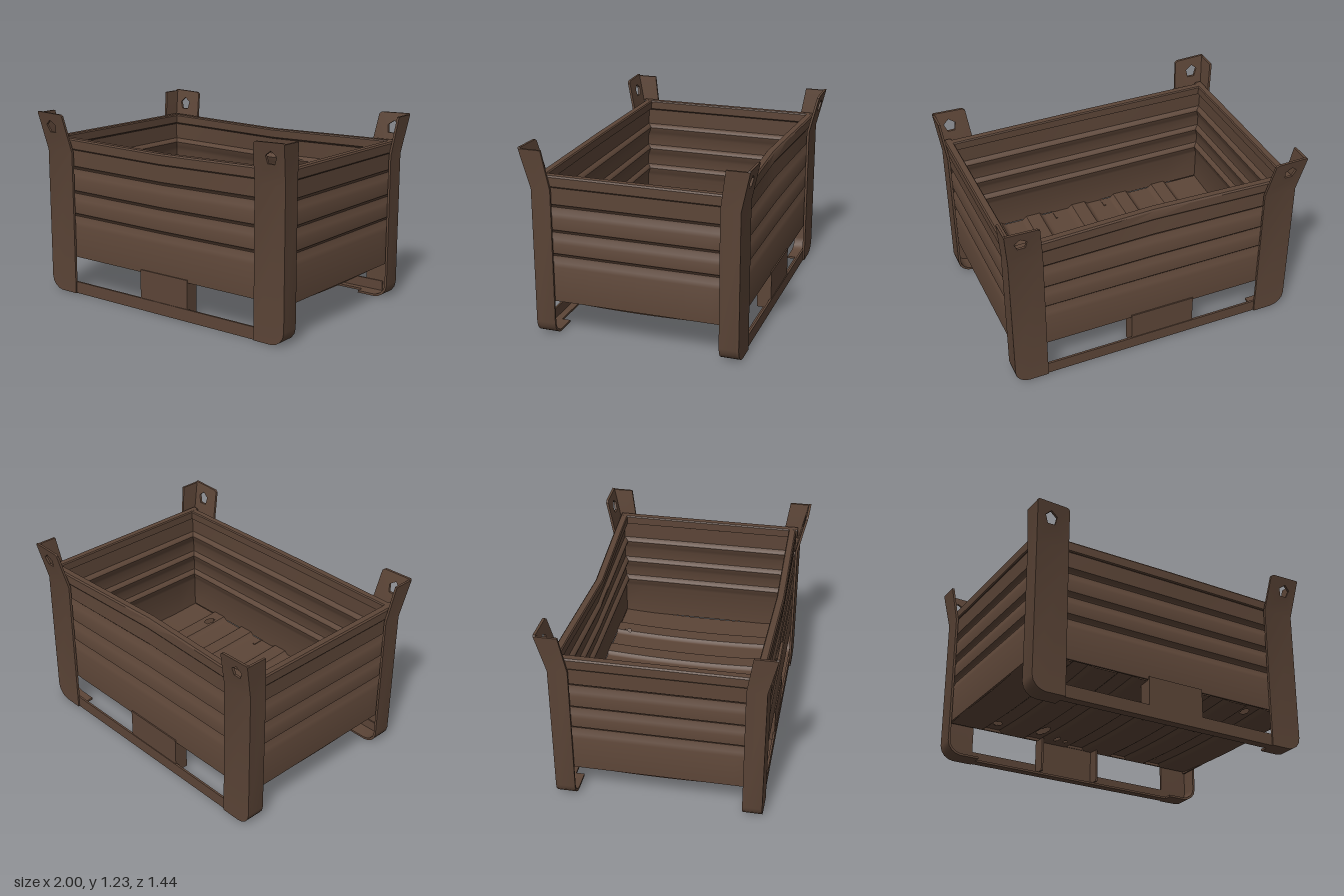
import * as THREE from 'three';
import { toCreasedNormals } from 'three/addons/utils/BufferGeometryUtils.js';

const rust = new THREE.MeshStandardMaterial({ color: 0x5c4537, side: THREE.DoubleSide });
rust.name = 'rustyBrown';

// Apply a rule to every vertex, then recompute normals with sharp creases.
function reshape(geo, rule) {
  const p = geo.attributes.position, v = new THREE.Vector3();
  for (let i = 0; i < p.count; i++) {
    v.fromBufferAttribute(p, i);
    rule(v);
    p.setXYZ(i, v.x, v.y, v.z);
  }
  geo.computeVertexNormals();
  return toCreasedNormals(geo, 0.6);
}

function add(parent, name, geo) {
  const mesh = new THREE.Mesh(geo, rust);
  mesh.name = name;
  parent.add(mesh);
  return mesh;
}

function box(parent, name, x0, x1, y0, y1, z0, z1) {
  const geo = new THREE.BoxGeometry(x1 - x0, y1 - y0, z1 - z0);
  geo.translate((x0 + x1) / 2, (y0 + y1) / 2, (z0 + z1) / 2);
  return add(parent, name, geo);
}

const polygon = (points) => new THREE.Shape(points.map(([x, y]) => new THREE.Vector2(x, y)));

// Worn long walls: the back is pushed inwards at the top, both sag slightly.
function dent(v) {
  const k = Math.max(0, 1 - Math.abs(v.x) / 0.9);
  const h = Math.min(1, Math.max(0, (v.y - 0.25) / 0.8));
  if (v.z < -0.5) v.z += 0.045 * k * h * h;
  else if (v.z > 0.5) v.z -= 0.02 * (1 - k) * h * h;
  v.y -= 0.01 * k * h;
}

// Sheet wall with three horizontal grooves and a folded top rim.
function wall(parent, name, angle, dist, length, bottom, rule) {
  const outer = [[0, bottom]];
  for (const c of [0.55, 0.705, 0.87]) {
    outer.push([0, c - 0.075], [-0.010, c - 0.05], [-0.022, c - 0.025], [-0.026, c - 0.01],
      [-0.022, c], [-0.008, c + 0.01], [0, c + 0.016]);
  }
  outer.push([0, 1.06]);
  const inner = outer.map(([x, y]) => [x - 0.012, y]).reverse();
  const sheet = new THREE.ExtrudeGeometry(polygon([...outer, ...inner]),
    { depth: length, steps: 8, bevelEnabled: false });
  sheet.translate(dist, 0, -length / 2).rotateY(angle);
  add(parent, name + 'Panel', reshape(sheet, rule));

  const rimShape = polygon([[-0.04, 1.01], [-0.012, 0.995], [0.006, 0.995], [0.012, 1.003],
    [0.012, 1.06], [0.004, 1.07], [-0.034, 1.07], [-0.04, 1.062]]);
  const rim = new THREE.ExtrudeGeometry(rimShape, { depth: length + 0.02, steps: 8, bevelEnabled: false });
  rim.translate(dist, 0, -length / 2 - 0.01).rotateY(angle);
  add(parent, name + 'Rim', reshape(rim, rule));
}

// Angle-section corner post; the top flares outwards as a stacking ear.
function post(parent, name, s) {
  const group = new THREE.Group();
  group.name = name;
  const BEND = 0.98;
  const flare = (v) => {
    const t = Math.max(0, (v.y - BEND) / 0.26);
    v.x += s * 0.03 * t;
    v.z += (v.z > 0.6 ? 0.06 : 0.04) * t;
  };
  const flip = (pts) => polygon(pts.map(([x, y]) => [s * x, y]));

  // Face plate: straight lower part with a rounded foot, ear with a five-sided hole
  const foot = [[0.97, 0.10], [0.962, 0.065], [0.94, 0.035], [0.91, 0.017], [0.88, 0.01]];
  const lower = flip([[0.75, BEND], [0.97, BEND], ...foot, [0.75, 0.01]]);
  const ear = flip([[0.75, BEND], [0.97, BEND], [0.97, 1.235], [0.962, 1.243], [0.765, 1.237], [0.75, 1.225]]);
  const hole = [];
  for (let i = 0; i < 5; i++) {
    const a = i * Math.PI * 0.4 + 0.3;
    hole.push(new THREE.Vector2(s * (0.875 + 0.042 * Math.cos(a)), 1.145 + 0.045 * Math.sin(a)));
  }
  ear.holes.push(new THREE.Path(hole));
  const face = new THREE.ExtrudeGeometry([lower, ear], { depth: 0.016, bevelEnabled: false });
  face.translate(0, 0, 0.644);
  add(group, 'postFace', reshape(face, flare));

  // Side flange, wrapping under the foot
  const inside = [[0.75, 0.024], [0.875, 0.024], [0.903, 0.031], [0.93, 0.048], [0.948, 0.072], [0.955, 0.10]];
  const flange = flip([[0.955, BEND], [0.97, BEND], ...foot, [0.75, 0.01], ...inside]);
  const earFlange = flip([[0.955, BEND], [0.97, BEND], [0.97, 1.235], [0.955, 1.235]]);
  const side = new THREE.ExtrudeGeometry([flange, earFlange], { depth: 0.122, bevelEnabled: false });
  side.translate(0, 0, 0.535);
  add(group, 'postFlange', reshape(side, flare));
  parent.add(group);
}

// Posts, bottom rail and centre support for one long side.
function longSideFrame(name, x0, x1) {
  const frame = new THREE.Group();
  frame.name = name;
  post(frame, 'leftPost', 1);
  post(frame, 'rightPost', -1);
  box(frame, 'bottomRail', -0.88, 0.88, 0.01, 0.09, 0.636, 0.65);
  box(frame, 'railLip', -0.88, 0.88, 0.01, 0.024, 0.59, 0.64);
  box(frame, 'centreSupport', x0, x1, 0.025, 0.28, 0.63, 0.645);
  for (const x of [x0, x1 - 0.014]) {
    box(frame, 'supportFlange', x, x + 0.014, 0.025, 0.26, 0.55, 0.635);
  }
  return frame;
}

// Corrugated, sagging floor with a few rusted-through holes.
function floorSheet() {
  const ridges = [-0.62, -0.31, 0.02, 0.37, 0.66];
  const holes = [[-0.32, -0.46, 0.03, 0.08], [-0.64, -0.5, 0.03, 0.035], [-0.19, -0.5, 0.015, 0.04],
    [-0.12, -0.52, 0.015, 0.02], [0.65, 0.51, 0.025, 0.04], [0.62, -0.54, 0.015, 0.02]];
  const geo = new THREE.PlaneGeometry(1.88, 1.25, 188, 50);
  geo.rotateX(-Math.PI / 2);
  const p = geo.attributes.position, keep = [], idx = geo.index.array;
  for (let i = 0; i < idx.length; i += 3) {
    const t = [idx[i], idx[i + 1], idx[i + 2]];
    const x = t.reduce((a, k) => a + p.getX(k) / 3, 0);
    const z = t.reduce((a, k) => a + p.getZ(k) / 3, 0);
    if (!holes.some(([hx, hz, rx, rz]) => ((x - hx) / rx) ** 2 + ((z - hz) / rz) ** 2 < 1)) keep.push(...t);
  }
  geo.setIndex(keep);
  return reshape(geo, (v) => {
    const d = Math.min(...ridges.map((r) => Math.abs(v.x - r)));
    const rise = THREE.MathUtils.clamp((0.075 - d) / 0.025, 0, 1);
    v.y = 0.258 + 0.022 * rise - 0.022 * (1 - (v.z / 0.625) ** 2);
  });
}

export function createModel() {
  const model = new THREE.Group();
  model.name = 'stackingCrate';

  // Walls
  const still = () => {};
  wall(model, 'left', 0, 0.945, 1.26, 0.245, still);
  wall(model, 'right', Math.PI, 0.945, 1.26, 0.245, still);
  wall(model, 'front', -Math.PI / 2, 0.637, 1.88, 0.262, dent);
  wall(model, 'back', Math.PI / 2, 0.637, 1.88, 0.262, dent);

  add(model, 'floor', floorSheet());

  // Frames with posts and rails
  model.add(longSideFrame('frontFrame', -0.17, 0.22));
  const back = longSideFrame('backFrame', -0.16, 0.28);
  back.rotation.y = Math.PI;
  model.add(back);
  return model;
}
